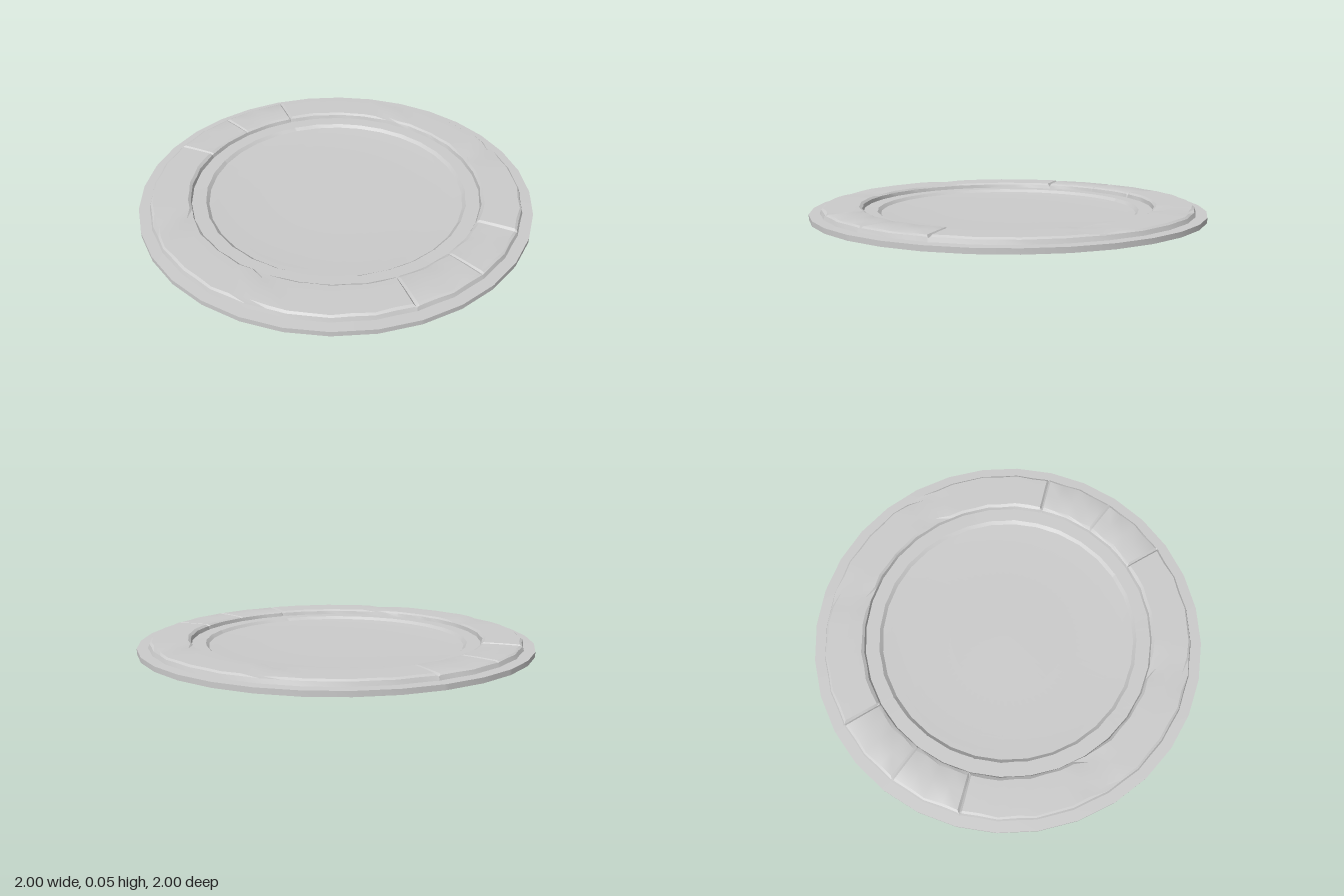
import * as THREE from 'three';
import { toCreasedNormals } from 'three/addons/utils/BufferGeometryUtils.js';

const SIDES = 32, STEP = (Math.PI * 2) / SIDES;
const CRACK = 0.012; // half width of a crack, in radians

// profile rows from the outside in: radius, height, wear (how ragged the edge is), crack depth
const PROFILE = {
  outerWall: [[1, 0, 0, 0], [1, 0.025, 0, 0]],
  outerLedge: [[1, 0.025, 0, 0], [0.947, 0.026, 0.004, 0]],
  raisedRing: [
    [0.947, 0.026, 0.004, 0], [0.94, 0.046, 0.006, 0.004], [0.93, 0.054, 0.011, 0.014],
    [0.84, 0.055, 0, 0.012], [0.755, 0.054, -0.011, 0.014], [0.743, 0.045, -0.005, 0.004], [0.738, 0.026, 0, 0],
  ],
  innerLedge: [[0.738, 0.026, 0, 0], [0.668, 0.025, -0.004, 0]],
  innerWall: [[0.668, 0.025, -0.004, 0], [0.652, 0.01, 0, 0]],
  centreDish: [[0.652, 0.01, 0, 0], [0.61, 0.008, 0, 0], [0.54, 0.004, 0, 0], [0.3, 0.003, 0, 0], [0, 0.003, 0, 0]],
};

// angle from the x axis, folded so all four quarters match
const fold = (a) => Math.abs(Math.atan2(Math.cos(a), Math.abs(Math.sin(a))));

// repeatable noise from 0 to 1
function noise(n) {
  const s = Math.sin(n * 127.1 + 3.7) * 43758.5453;
  return s - Math.floor(s);
}

// radial cracks on the x axis and two sides away from it
const crackFolds = [0, 2 * STEP];
const crackAngles = [];
for (const f of crackFolds) {
  for (const side of [Math.PI / 2, -Math.PI / 2]) {
    crackAngles.push(side + f);
    if (f) crackAngles.push(side - f);
  }
}

// two columns per side, plus a narrow pair beside each crack
const columns = [];
for (let i = 0; i < SIDES * 2; i++) columns.push((i * STEP) / 2);
for (const a of crackAngles) {
  for (const d of [-CRACK, CRACK]) columns.push((a + d + Math.PI * 4) % (Math.PI * 2));
}
columns.sort((a, b) => a - b);

function point([radius, height, wear, depth], a) {
  // straight polygon sides
  const off = a - (Math.floor(a / STEP + 1e-6) + 0.5) * STEP;
  let r = (radius * Math.cos(STEP / 2)) / Math.cos(off);
  let y = height;
  const f = fold(a);
  const chip = noise(Math.round(f * 100) + Math.round(radius * 10) * 7);
  r -= wear * (chip - 0.35);
  // larger chips broken from the ring edges
  if (wear && height > 0.05 && Math.abs(f - 6 * STEP) < 0.02) {
    r -= wear * 1.8;
    y -= 0.008;
  }
  if (depth) {
    const wide = crackFolds.some((c) => Math.abs(f - c) < CRACK / 2);
    if (wide) y -= f < 0.01 ? depth * 0.6 : depth;
    else if (f < 2 * STEP && height > 0.05) y -= 0.002; // side blocks sit slightly lower
  }
  return [r * Math.sin(a), y, r * Math.cos(a)];
}

// sweep a run of profile rows round all columns
function sweep(rows) {
  const pos = [], index = [], n = columns.length;
  for (const row of rows) for (const a of columns) pos.push(...point(row, a));
  for (let j = 0; j < rows.length - 1; j++) {
    for (let i = 0; i < n; i++) {
      const k = (i + 1) % n;
      const o0 = j * n + i, o1 = j * n + k, i0 = o0 + n, i1 = o1 + n;
      index.push(o0, o1, i0);
      if (rows[j + 1][0] > 0) index.push(i0, o1, i1);
    }
  }
  const geo = new THREE.BufferGeometry();
  geo.setAttribute('position', new THREE.Float32BufferAttribute(pos, 3));
  geo.setIndex(index);
  return toCreasedNormals(geo, 0.45);
}

export function createModel() {
  const group = new THREE.Group();
  group.name = 'stoneDisc';
  const stone = new THREE.MeshStandardMaterial({ color: 0xcccccc, side: THREE.DoubleSide });
  for (const [name, rows] of Object.entries(PROFILE)) {
    const mesh = new THREE.Mesh(sweep(rows), stone);
    mesh.name = name;
    group.add(mesh);
  }
  return group;
}
